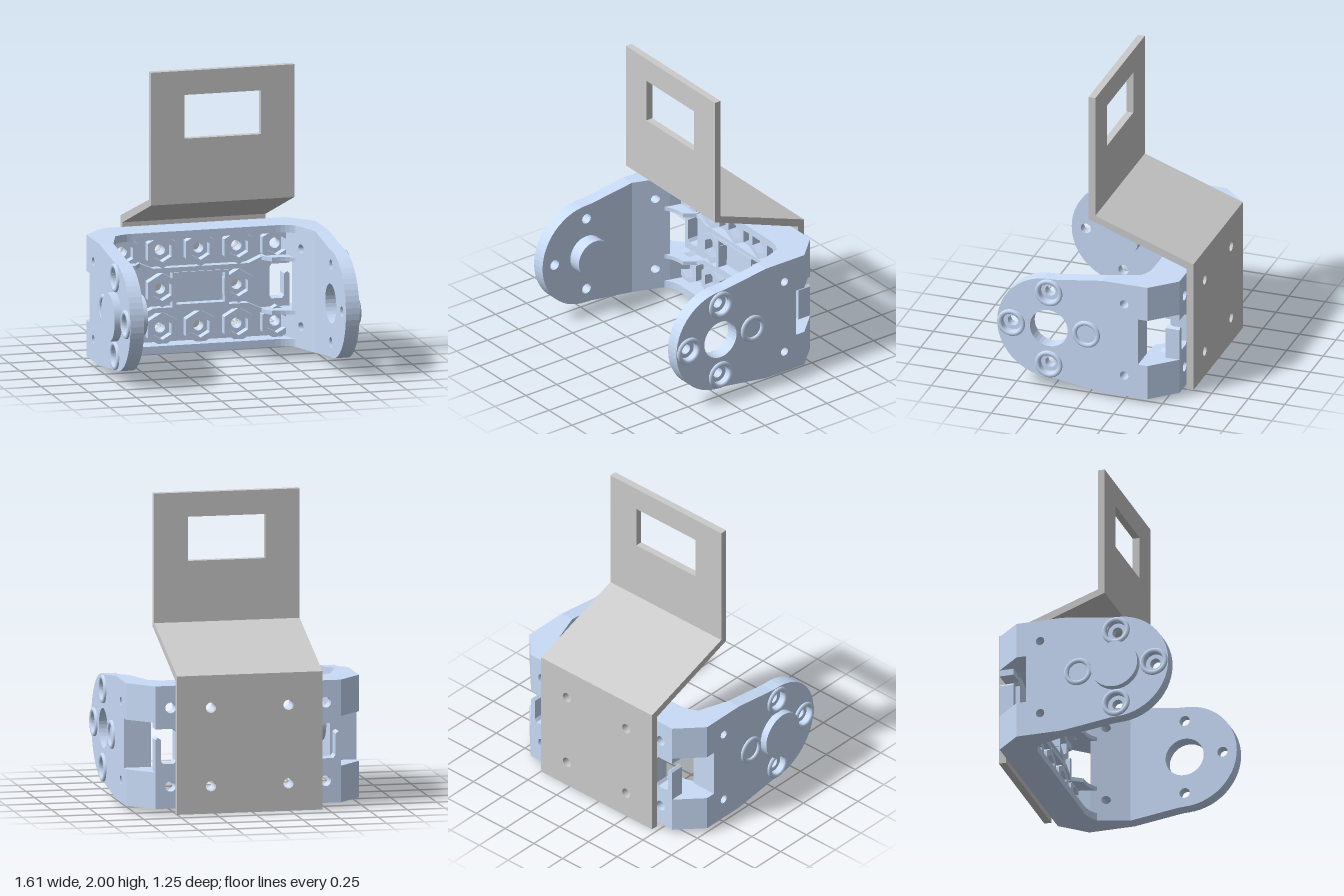
import * as THREE from 'three';

const steel = new THREE.MeshStandardMaterial({ color: 0xcccccc });
const blue = new THREE.MeshStandardMaterial({ color: 0xc9dcf8 });

const V = (x, y, z) => new THREE.Vector3(x, y, z);
const poly = (pts) => new THREE.Shape(pts.map(([a, b]) => new THREE.Vector2(a, b)));
const rect = (x0, y0, x1, y1) => poly([[x0, y0], [x1, y0], [x1, y1], [x0, y1]]);
const ring = (x, y, r, n = 24, turn = 0) => poly(Array.from({ length: n }, (_, i) => {
  const a = turn + (i / n) * Math.PI * 2;
  return [x + r * Math.cos(a), y + r * Math.sin(a)];
}));
const hex = (x, y, r) => ring(x, y, r, 6, Math.PI / 6);

function extrude(shape, depth, holes = []) {
  shape.holes.push(...holes);
  return new THREE.ExtrudeGeometry(shape, { depth, bevelEnabled: false, curveSegments: 14 });
}
// shape in (x, y), between two z levels
const alongZ = (shape, z0, z1, holes) => extrude(shape, z1 - z0, holes).translate(0, 0, z0);
// shape in (z, y), between two x levels
const alongX = (shape, x0, x1, holes) => extrude(shape, x1 - x0, holes)
  .applyMatrix4(new THREE.Matrix4().makeBasis(V(0, 0, 1), V(0, 1, 0), V(-1, 0, 0))).translate(x1, 0, 0);
// shape in (x, z), between two y levels
const alongY = (shape, y0, y1) => extrude(shape, y1 - y0)
  .applyMatrix4(new THREE.Matrix4().makeBasis(V(1, 0, 0), V(0, 0, 1), V(0, -1, 0))).translate(0, y1, 0);

function add(group, name, geometry, material = blue) {
  const mesh = new THREE.Mesh(geometry, material);
  mesh.name = name;
  group.add(mesh);
  return mesh;
}

const PITCH = 0.2575; // spacing of the mounting holes
const H = 0.4025;     // half height of the bracket
const BACK = -0.575, FLOOR = -0.48, BOSS = -0.42;
const AXLE = 0.267;   // z of the pivot

// Fillet between the back and an arm, as (x, z) points
const fillet = (s) => Array.from({ length: 11 }, (_, i) => {
  const a = (i / 10) * Math.PI / 2;
  return [s * (0.485 + 0.195 * Math.cos(a)), -0.16 - 0.19 * Math.sin(a)];
});
const outerCorner = (s) => [[s * 0.615, BACK], [s * 0.772, -0.41], [s * 0.772, -0.16]];

function buildArm(s) {
  const arm = new THREE.Group();
  arm.name = s > 0 ? 'leftArm' : 'rightArm';
  const slab = (a, b, shape, holes) => alongX(shape, Math.min(s * a, s * b), Math.max(s * a, s * b), holes);
  const bolts = [[PITCH, 0], [-PITCH, 0], [0, PITCH], [0, -PITCH]];

  // Rounded front lobe: inner layer with through holes, outer layer with counterbores
  const lobe = () => {
    const p = new THREE.Shape();
    p.moveTo(-0.1, -H).lineTo(0.225, -0.357);
    p.absarc(AXLE, 0, 0.355, -Math.PI / 2, Math.PI / 2, false);
    p.lineTo(0.225, 0.357).lineTo(-0.1, H);
    return p;
  };
  const lobeHoles = (r) => [ring(AXLE, 0, 0.13, 32), ...bolts.map(([z, y]) => ring(AXLE + z, y, r))];
  add(arm, 'armInnerLayer', slab(0.68, 0.742, lobe(), lobeHoles(0.035)));
  add(arm, 'armOuterLayer', slab(0.742, 0.772, lobe(), lobeHoles(0.064)));

  // Rear part, thickening inwards towards the back
  const root = slab(0.68, 0.772, rect(-0.345, -H, -0.1, H), [ring(-0.25, PITCH, 0.029), ring(-0.25, -PITCH, 0.029)]);
  const pos = root.attributes.position;
  for (let i = 0; i < pos.count; i++) {
    if (Math.abs(pos.getX(i)) < 0.7) pos.setX(i, s * (0.68 + 0.35 * (pos.getZ(i) + 0.1)));
  }
  root.computeVertexNormals();
  add(arm, 'armRoot', root);

  // Raised collars around the bolt holes
  for (const [z, y] of bolts) {
    const profile = [[0.064, -0.03], [0.064, 0.008], [0.072, 0.016], [0.086, 0.016], [0.094, 0.008], [0.094, -0.005]];
    const collar = new THREE.LatheGeometry(profile.reverse().map(([r, h]) => new THREE.Vector2(r, h)), 28);
    collar.rotateZ(-s * Math.PI / 2).translate(s * 0.772, y, AXLE + z);
    const mesh = add(arm, 'boltCollar', collar.toNonIndexed(), blue.clone());
    mesh.material.side = THREE.DoubleSide;
  }

  // Chamfered corner walls above and below the side opening, and fillet ribs
  const wall = [[0.55, BACK], [0.615, BACK], [0.772, -0.41], [0.772, -0.345], [0.595, -0.345], [0.56, FLOOR], [0.55, FLOOR]];
  const rib = [[s * 0.41, BACK], ...outerCorner(s), ...fillet(s), [s * 0.46, -0.35], [s * 0.41, BOSS]];
  for (const t of [-1, 1]) {
    const band = (a, b) => [Math.min(t * a, t * b), Math.max(t * a, t * b)];
    add(arm, 'cornerWall', alongY(poly(wall.map(([x, z]) => [s * x, z])), ...band(0.163, H)));
    add(arm, 'cornerRib', alongY(poly(rib), ...band(0.163, 0.19)));
  }
  return arm;
}

function buildBack() {
  const back = new THREE.Group();
  back.name = 'bracketBack';
  const spots = [];
  for (const y of [-PITCH, PITCH]) for (let i = -2; i <= 2; i++) spots.push([i * PITCH, y]);
  spots.push([-PITCH, 0], [PITCH, 0]);

  // Floor with a hooked slot at each end
  const end = [[0.615, -H], [0.615, 0.05], [0.6, 0.065], [0.58, 0.05], [0.58, -0.09], [0.565, -0.11],
    [0.495, -0.11], [0.48, -0.09], [0.48, 0.1], [0.495, 0.12], [0.615, 0.12], [0.615, H]];
  const outline = [...end, ...end.map(([x, y]) => [-x, y]).reverse()];
  add(back, 'backFloor', alongZ(poly(outline), BACK, FLOOR, spots.map(([x, y]) => ring(x, y, 0.035))));

  // Hexagonal bosses with nut pockets
  for (const [x, y] of spots) {
    add(back, 'hexBoss', alongZ(hex(x, y, 0.113), FLOOR, BOSS, [hex(x, y, 0.07)]));
  }
  // Framed pocket in the middle
  add(back, 'centrePocket', alongZ(rect(-0.19, -0.115, 0.19, 0.115), FLOOR, BOSS + 0.005,
    [rect(-0.163, -0.098, 0.163, 0.098)]));

  for (const t of [-1, 1]) {
    // Waved rib running between the corner ribs
    const wave = [[-0.42, 0.19], [-0.32, 0.147], [0.32, 0.147], [0.42, 0.19], [0.42, 0.163], [0.32, 0.116], [-0.32, 0.116], [-0.42, 0.163]];
    add(back, 'wavedRib', alongZ(poly(wave.map(([x, y]) => [x, t * y])), FLOOR, BOSS));
    // Deep rim along the top and bottom edges
    const rim = [...outerCorner(1), ...fillet(1), ...fillet(-1).reverse(), ...outerCorner(-1).reverse()];
    add(back, 'edgeRim', alongY(poly(rim), t > 0 ? H - 0.05 : -H, t > 0 ? H : 0.05 - H));
  }
  return back;
}

function buildPlate() {
  const plate = new THREE.Group();
  plate.name = 'bentPlate';
  const x0 = -0.465, x1 = 0.5;
  const holes = [];
  for (const x of [-0.24, 0.275]) for (const y of [0.18, 0.695]) holes.push(ring(x, y, 0.034));
  add(plate, 'plateBack', alongZ(rect(x0, 0, x1, 0.87), -0.623, BACK, holes), steel);
  const slope = [[-0.623, 0.87], [BACK, 0.87], [0.097, 1.12], [0.097, 1.15], [0.05, 1.15], [-0.623, 0.908]];
  add(plate, 'plateSlope', alongX(poly(slope), x0, x1), steel);
  add(plate, 'plateUpright', alongZ(rect(x0, 1.15, x1, 2), 0.05, 0.097, [rect(-0.24, 1.55, 0.275, 1.84)]), steel);
  return plate;
}

export function createModel() {
  const model = new THREE.Group();
  model.name = 'hingeBracketWithPlate';

  const bracket = new THREE.Group();
  bracket.name = 'bracket';
  bracket.position.set(0.0175, 0.4375, 0);
  bracket.add(buildBack(), buildArm(1), buildArm(-1));

  // Pivot pin through the right arm, with a wider head outside
  const pin = new THREE.CylinderGeometry(0.13, 0.13, 0.21, 36).rotateZ(Math.PI / 2);
  add(bracket, 'pivotPin', pin).position.set(-0.693, 0, AXLE);
  const head = new THREE.CylinderGeometry(0.16, 0.16, 0.05, 36).rotateZ(Math.PI / 2);
  add(bracket, 'pivotHead', head).position.set(-0.797, 0, AXLE);

  model.add(bracket, buildPlate());
  return model;
}
